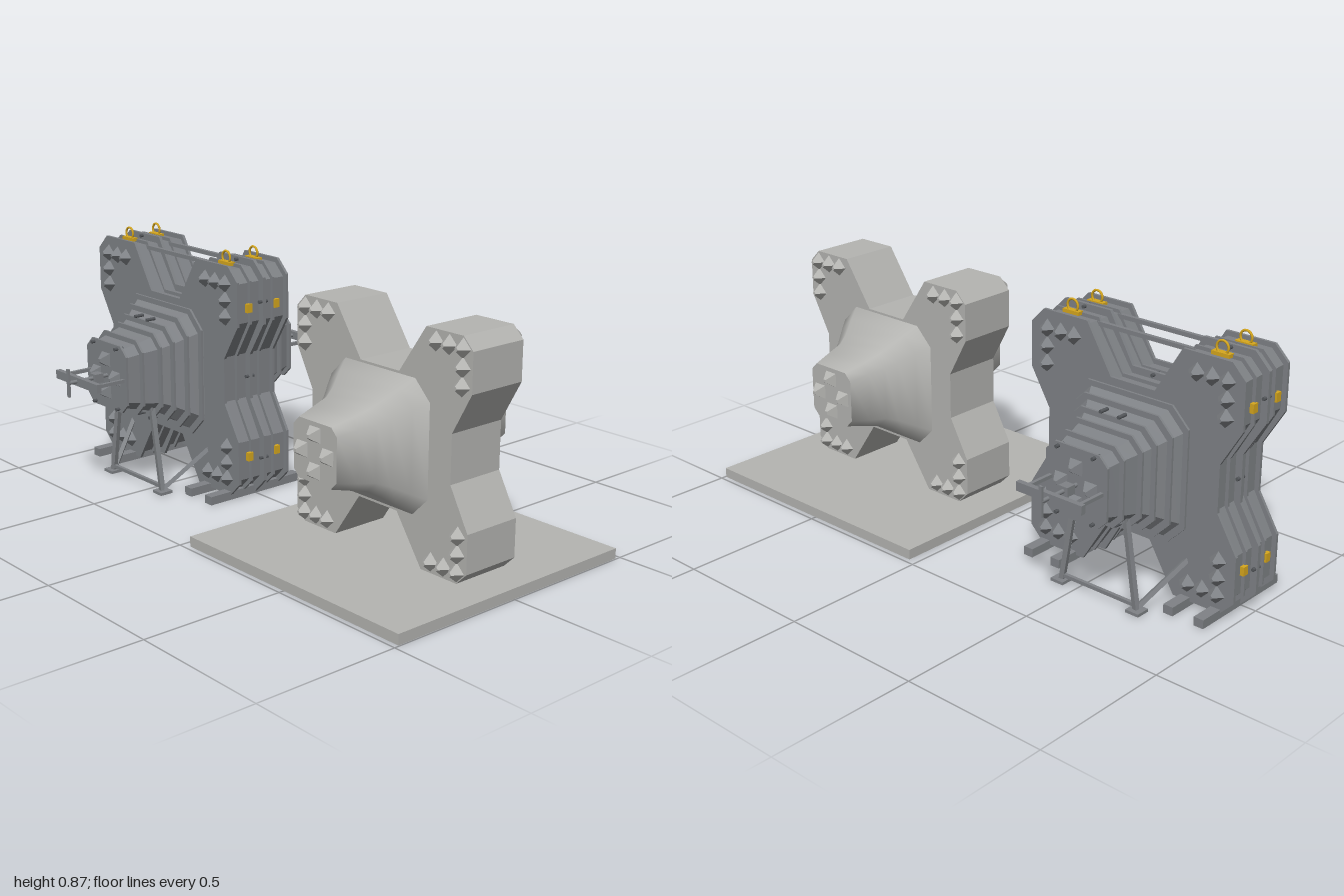
import * as THREE from 'three';
import { toCreasedNormals } from 'three/addons/utils/BufferGeometryUtils.js';

const mat = (name, color) => Object.assign(new THREE.MeshStandardMaterial({ color }), { name });

export function createModel() {
  const concrete = mat('concrete', 0xb4b4b1);
  const steel = mat('mould steel', 0x7f8286);
  const darkSteel = mat('dark steel', 0x55585c);
  const yellow = mat('yellow paint', 0xd6a71e);

  const group = (parent, name, x = 0, y = 0, z = 0) => {
    const g = new THREE.Group();
    g.name = name;
    g.position.set(x, y, z);
    parent.add(g);
    return g;
  };
  const add = (parent, name, geo, m, x = 0, y = 0, z = 0) => {
    const mesh = new THREE.Mesh(geo, m);
    mesh.name = name;
    mesh.position.set(x, y, z);
    parent.add(mesh);
    return mesh;
  };
  const box = (parent, name, m, w, h, d, x, y, z) => add(parent, name, new THREE.BoxGeometry(w, h, d), m, x, y, z);

  // Square bar between two points
  const bar = (parent, name, m, a, b, t) => {
    const p = new THREE.Vector3(...a), q = new THREE.Vector3(...b);
    const mesh = box(parent, name, m, t, t, p.distanceTo(q), 0, 0, 0);
    mesh.position.copy(p).lerp(q, 0.5);
    mesh.quaternion.setFromUnitVectors(new THREE.Vector3(0, 0, 1), q.sub(p).normalize());
    return mesh;
  };

  // Four-legged block outline, grown outwards by e
  const outline = (e) => {
    const q = [[0.085, 0.225 + e], [0.195 - e * 0.5, 0.385 + e], [0.345 + e * 0.6, 0.385 + e],
      [0.385 + e, 0.345 + e * 0.6], [0.385 + e, 0.216 - e * 0.5], [0.31 + e, 0.08]];
    const r = [...q].reverse();
    return new THREE.Shape([
      ...q, ...r.map(([x, y]) => [x, -y]), ...q.map(([x, y]) => [-x, -y]), ...r.map(([x, y]) => [-x, y]),
    ].map(([x, y]) => new THREE.Vector2(x, y)));
  };
  const slab = (e, depth) => {
    const g = new THREE.ExtrudeGeometry(outline(e), { depth, bevelEnabled: false });
    return g.translate(0, 0, -depth / 2);
  };

  // Chamfered-square loft through sections [z, half width, chamfer], with a front cap
  const loft = (sections, crease) => {
    const pos = [], idx = [];
    for (const [z, h, c] of sections) {
      const k = h - c;
      for (const [x, y] of [[h, -k], [h, k], [k, h], [-k, h], [-h, k], [-h, -k], [-k, -h], [k, -h]]) pos.push(x, y, z);
    }
    for (let s = 0; s < sections.length - 1; s++) {
      for (let i = 0; i < 8; i++) {
        const a = s * 8 + i, b = s * 8 + (i + 1) % 8;
        idx.push(a, b, b + 8, a, b + 8, a + 8);
      }
    }
    const last = (sections.length - 1) * 8;
    for (let i = 1; i < 7; i++) idx.push(last, last + i, last + i + 1);
    const g = new THREE.BufferGeometry();
    g.setAttribute('position', new THREE.Float32BufferAttribute(pos, 3));
    g.setIndex(idx);
    return toCreasedNormals(g, crease);
  };

  const hornSections = [[0.1, 0.222, 0.065], [0.15, 0.188, 0.055], [0.2, 0.152, 0.045], [0.24, 0.13, 0.038],
    [0.3, 0.114, 0.03], [0.37, 0.097, 0.025]];
  const grown = (e) => hornSections.map(([z, h, c]) => [z, h + e, c]);
  const halfAt = (z) => {
    const i = Math.max(1, hornSections.findIndex((s) => s[0] >= z));
    const [a, b] = [hornSections[i - 1], hornSections[i]];
    return THREE.MathUtils.mapLinear(z, a[0], b[0], a[1], b[1]);
  };

  // Truncated pyramid studs
  const stud = (r, turn) => toCreasedNormals(
    new THREE.CylinderGeometry(r * 0.22, r, 0.03, 4).rotateX(Math.PI / 2).rotateZ(turn), 0.3);
  const cornerStud = stud(0.032, 0), endStud = stud(0.034, Math.PI / 4);
  const addStuds = (parent, m, z, endZ) => {
    for (const sx of [-1, 1]) for (const sy of [-1, 1]) {
      for (const [x, y] of [[0.345, 0.348], [0.29, 0.348], [0.236, 0.348], [0.345, 0.29], [0.345, 0.232]]) {
        add(parent, 'cornerStud', cornerStud, m, sx * x, sy * y, z + 0.015);
      }
    }
    for (const [x, y] of [[0, 1], [0, -1], [1, 0], [-1, 0]]) {
      add(parent, 'endStud', endStud, m, x * 0.058, y * 0.058, endZ + 0.015);
    }
  };

  const model = new THREE.Group();
  model.name = 'blockAndMould';

  // Finished concrete block on its base plate
  const block = group(model, 'concreteBlock', 0.514, 0.42, 0);
  box(block, 'basePlate', concrete, 0.964, 0.035, 0.964, 0, -0.4025, 0);
  add(block, 'blockBody', slab(0, 0.214), concrete);
  for (const turn of [0, Math.PI]) {
    const side = group(block, 'blockSide');
    side.rotation.y = turn;
    add(side, 'horn', loft(hornSections, 0.9), concrete);
    addStuds(side, concrete, 0.107, 0.37);
  }

  // Steel mould: skin with stiffening flanges
  const mould = group(model, 'steelMould', -0.583, 0.425, 0);
  add(mould, 'mouldSkin', slab(0.008, 0.214), steel);
  for (const [z, e, d] of [[-0.108, 0.024, 0.01], [-0.05, 0.02, 0.008], [0, 0.032, 0.012], [0.05, 0.02, 0.008], [0.108, 0.024, 0.01]]) {
    add(mould, 'stiffeningFlange', slab(e, d), steel, 0, 0, z);
  }

  // Bolts along the seam flange
  const boltGeo = new THREE.CylinderGeometry(0.006, 0.006, 0.036, 8).rotateX(Math.PI / 2);
  for (const s of [-1, 1]) {
    for (const [x, y] of [[0.28, 0.408], [-0.28, 0.408], [0, 0.248], [0.408, 0.28], [0.408, -0.28], [0.333, 0]]) {
      add(mould, 'seamBolt', boltGeo, darkSteel, s * x, s === 1 ? y : (x === 0 ? -y : y), 0);
    }
  }

  // Tie rods, lifting rings and side lugs
  for (const z of [-0.05, 0.05]) {
    bar(mould, 'tieRod', steel, [-0.19, 0.385, z], [0.19, 0.385, z], 0.014);
    for (const s of [-1, 1]) {
      box(mould, 'liftingPad', yellow, 0.065, 0.012, 0.022, s * 0.286, 0.403, z * 1.2);
      add(mould, 'liftingRing', new THREE.TorusGeometry(0.021, 0.004, 8, 20), yellow, s * 0.286, 0.423, z * 1.2);
      for (const y of [-0.265, 0.265]) box(mould, 'sideLug', yellow, 0.014, 0.03, 0.022, s * 0.405, y, z * 1.2);
    }
  }

  // Floor rails
  for (const s of [-1, 1]) for (const x of [0.23, 0.345]) {
    box(mould, 'floorRail', steel, 0.036, 0.03, 0.4, s * x, -0.41, 0);
  }

  for (const turn of [0, Math.PI]) {
    const side = group(mould, 'mouldSide');
    side.rotation.y = turn;
    add(side, 'hornSkin', loft(grown(0.006), 0.1), steel);
    addStuds(side, steel, 0.112, 0.373);

    // Horn ribs
    for (const z of [0.125, 0.165, 0.205, 0.245, 0.31, 0.368]) {
      const h = halfAt(z) + 0.022, c = h * 0.28;
      add(side, 'hornRib', loft([[-0.004, 0.001, 0.0003], [-0.004, h, c], [0.004, h, c]], 0.1), steel, 0, 0, z);
    }
    for (const sx of [-1, 1]) for (const sy of [-1, 1]) {
      add(side, 'endBolt', boltGeo, darkSteel, sx * 0.07, sy * 0.108, 0.368);
      add(side, 'hornBolt', boltGeo, darkSteel, sx * 0.035, sy * 0.18, 0.205);
    }

    // End clamp with screw and handle
    for (const s of [-1, 1]) bar(side, 'clampRod', steel, [s * 0.1, 0, 0.365], [s * 0.1, 0, 0.485], 0.012);
    box(side, 'clampBeam', steel, 0.255, 0.03, 0.018, 0, 0, 0.49);
    add(side, 'clampScrew', new THREE.CylinderGeometry(0.007, 0.007, 0.16, 10).rotateX(Math.PI / 2), steel, 0, 0, 0.45);
    box(side, 'pressureBlock', steel, 0.035, 0.03, 0.035, 0, 0, 0.415);
    box(side, 'clampHandle', steel, 0.012, 0.1, 0.008, 0, 0, 0.53);

    // Support trestle
    for (const s of [-1, 1]) {
      bar(side, 'trestleLeg', steel, [s * 0.15, -0.415, 0.255], [s * 0.1, -0.115, 0.255], 0.017);
      bar(side, 'trestleBrace', steel, [s * 0.15, -0.41, 0.25], [s * 0.23, -0.27, 0.105], 0.015);
      box(side, 'trestleFoot', steel, 0.05, 0.01, 0.05, s * 0.152, -0.418, 0.255);
    }
    bar(side, 'trestleTie', steel, [-0.148, -0.4, 0.255], [0.148, -0.4, 0.255], 0.012);
    bar(side, 'trestleTop', steel, [-0.11, -0.125, 0.255], [0.11, -0.125, 0.255], 0.017);
  }
  return model;
}
